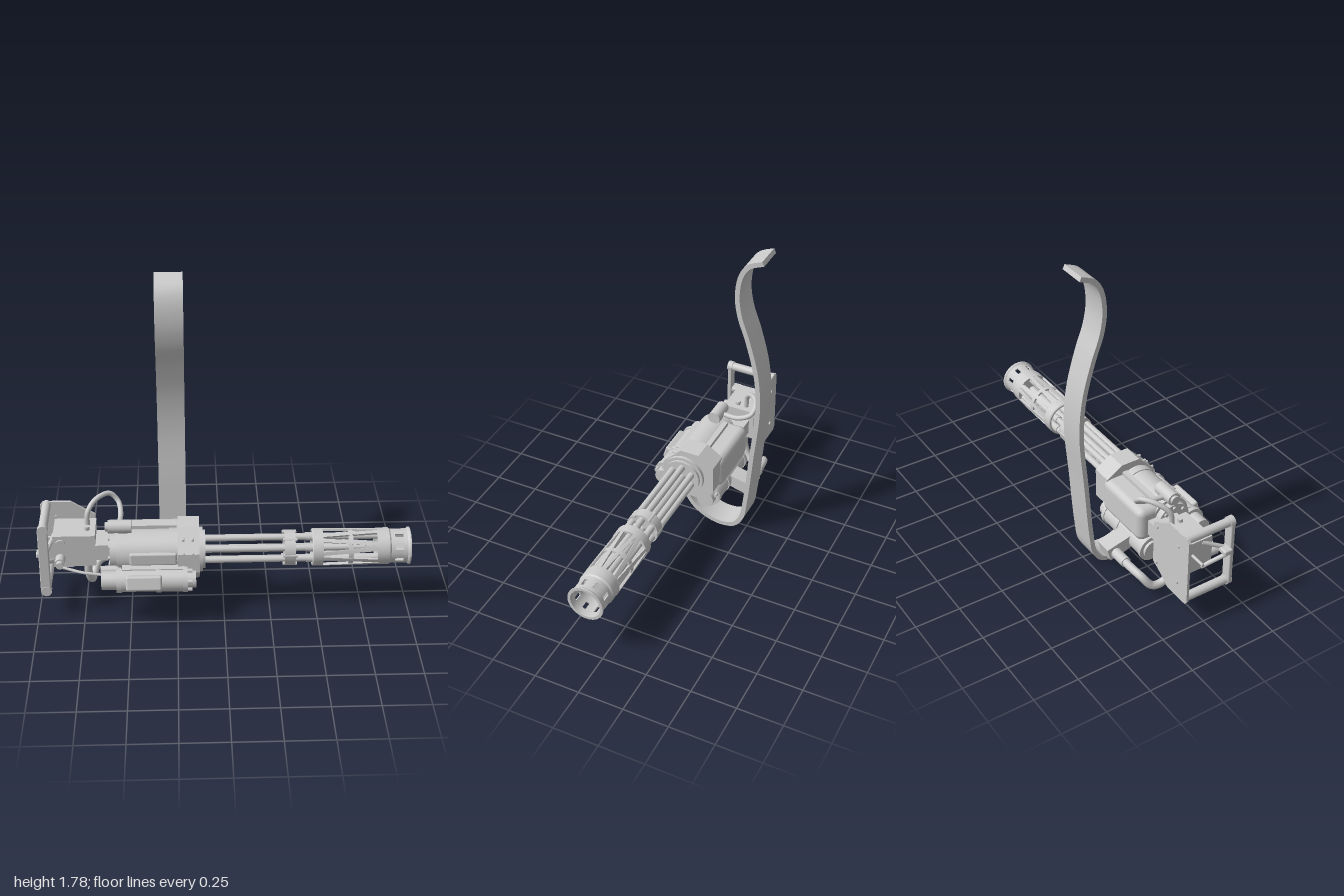
import * as THREE from 'three';
import { toCreasedNormals } from 'three/addons/utils/BufferGeometryUtils.js';
import { RoundedBoxGeometry } from 'three/addons/geometries/RoundedBoxGeometry.js';

const CY = 0.355, CZ = 0.085; // barrel axis
const TAU = Math.PI * 2;
const mat = new THREE.MeshStandardMaterial({ color: 0xcccccc });
const V = (x, y, z) => new THREE.Vector3(x, y, z);

export function createModel() {
  const model = new THREE.Group();
  let parent = model;

  const group = (name) => {
    parent = new THREE.Group();
    parent.name = name;
    model.add(parent);
  };
  const add = (name, geo, x = 0, y = 0, z = 0) => {
    const m = new THREE.Mesh(geo, mat);
    m.name = name;
    m.position.set(x, y, z);
    parent.add(m);
    return m;
  };
  // cylinder along x
  const cylX = (name, r, x0, x1, y = CY, z = CZ, seg = 32, r0 = r) =>
    add(name, new THREE.CylinderGeometry(r, r0, x1 - x0, seg).rotateZ(-Math.PI / 2), (x0 + x1) / 2, y, z);
  // cylinder between two points
  const rod = (name, r, a, b, seg = 16) => {
    const m = add(name, new THREE.CylinderGeometry(r, r, a.distanceTo(b), seg));
    m.position.copy(a).lerp(b, 0.5);
    m.quaternion.setFromUnitVectors(V(0, 1, 0), b.clone().sub(a).normalize());
    return m;
  };
  // box from opposite corners
  const box = (name, a, b, r = 0) => {
    const s = [0, 1, 2].map((i) => b[i] - a[i]);
    const geo = r ? new RoundedBoxGeometry(...s, 2, r) : new THREE.BoxGeometry(...s);
    return add(name, geo, ...[0, 1, 2].map((i) => (a[i] + b[i]) / 2));
  };
  const tube = (name, r, pts) =>
    add(name, new THREE.TubeGeometry(new THREE.CatmullRomCurve3(pts.map((p) => V(...p))), 48, r, 12));
  const extrude = (pts, depth) =>
    new THREE.ExtrudeGeometry(new THREE.Shape(pts.map((p) => new THREE.Vector2(...p))), { depth, bevelEnabled: false });
  // outline of [z, y] points swept along x
  const slabX = (name, pts, x0, x1) =>
    add(name, toCreasedNormals(extrude(pts.map(([z, y]) => [-z, y]), x1 - x0).rotateY(Math.PI / 2), 0.5), x0);
  // hollow ring round the barrel axis, outer profile of [x, r] points
  const ring = (name, profile, inner, seg = 48) => {
    const pts = profile.map(([x, r]) => new THREE.Vector2(r, x));
    const first = pts[0].y, last = pts[pts.length - 1].y;
    pts.push(new THREE.Vector2(inner, last), new THREE.Vector2(inner, first), pts[0].clone());
    const geo = new THREE.LatheGeometry(pts, seg).rotateZ(-Math.PI / 2);
    return add(name, toCreasedNormals(geo, 0.5), 0, CY, CZ);
  };
  // strip wrapped on a cylinder, twisting from angle a0 to a1
  const strip = (name, x0, x1, a0, a1, w0, w1, r, t) => {
    const geo = new THREE.BoxGeometry(1, 1, 1, 10, 1, 4);
    const p = geo.attributes.position;
    for (let i = 0; i < p.count; i++) {
      const u = p.getX(i) + 0.5;
      const a = a0 + (a1 - a0) * u + p.getZ(i) * (w0 + (w1 - w0) * u);
      const rad = r + (p.getY(i) - 0.5) * t;
      p.setXYZ(i, x0 + (x1 - x0) * u, Math.cos(a) * rad, Math.sin(a) * rad);
    }
    return add(name, toCreasedNormals(geo, 0.6), 0, CY, CZ);
  };

  // rotating barrels
  group('barrels');
  for (let i = 0; i < 6; i++) {
    const a = (i / 6) * TAU;
    cylX('barrel', 0.018, -0.12, 0.87, CY + 0.066 * Math.cos(a), CZ + 0.066 * Math.sin(a), 20);
    cylX('barrelCollar', 0.022, 0.44, 0.48, CY + 0.066 * Math.cos(a), CZ + 0.066 * Math.sin(a), 16);
  }
  cylX('spindle', 0.022, -0.12, 0.86, CY, CZ, 20);
  cylX('barrelClamp', 0.092, 0.325, 0.382);
  for (let i = 0; i < 6; i++) {
    const a = ((i + 0.5) / 6) * TAU;
    cylX('clampBolt', 0.01, 0.315, 0.392, CY + 0.085 * Math.cos(a), CZ + 0.085 * Math.sin(a), 10);
  }

  // slotted shroud and flash hider
  group('muzzleShroud');
  ring('rearBand', [[0.473, 0.096], [0.478, 0.101], [0.53, 0.101]], 0.088);
  ring('middleBand', [[0.665, 0.097], [0.69, 0.097]], 0.086);
  ring('frontBand', [[0.82, 0.099], [0.885, 0.099], [0.893, 0.092], [0.915, 0.092]], 0.085);
  cylX('barrelPlate', 0.09, 0.835, 0.86);
  for (let i = 0; i < 6; i++) {
    const a = (i / 6) * TAU;
    for (const s of [-1, 1]) strip('shroudStrut', 0.525, 0.825, a + s * 0.38, a + s * 0.13, 0.2, 0.24, 0.1, 0.012);
  }
  for (let i = 0; i < 8; i++) strip('muzzleRib', 0.91, 0.965, (i / 8) * TAU, (i / 8) * TAU, 0.56, 0.56, 0.092, 0.008);
  ring('muzzleLip', [[0.96, 0.092], [0.982, 0.093], [0.992, 0.101], [1.0, 0.101]], 0.085);

  // front housing that holds the rotor
  group('frontHousing');
  slabX('housing', [[0.11, 0.51], [0, 0.51], [-0.09, 0.45], [-0.09, 0.28], [-0.02, 0.21],
    [0.14, 0.21], [0.215, 0.29], [0.215, 0.4]], -0.245, -0.13);
  cylX('rotorFlange', 0.12, -0.135, -0.112, CY, CZ, 48);
  cylX('rotorFace', 0.103, -0.115, -0.098, CY, CZ, 48);
  for (const x of [-0.215, -0.165]) for (const y of [0.4, 0.46])
    rod('housingBolt', 0.008, V(x, y, 0.12), V(x, y, y > 0.43 ? 0.172 : 0.221), 10);

  // receiver
  group('receiver');
  cylX('receiverBody', 0.112, -0.57, -0.24, CY, CZ, 40);
  cylX('receiverBand', 0.117, -0.29, -0.245, CY, CZ, 40);
  cylX('rearCap', 0.095, -0.605, -0.57, CY, CZ, 32);
  box('sideCasing', [-0.57, 0.25, -0.105], [-0.21, 0.45, 0.06], 0.04);
  box('topRail', [-0.52, 0.45, 0.0], [-0.25, 0.472, 0.03]);
  box('frontCover', [-0.5, 0.33, 0.17], [-0.25, 0.4, 0.207], 0.01);
  cylX('topCanister', 0.036, -0.615, -0.49, 0.498, 0.075, 24);
  cylX('canisterCap', 0.025, -0.63, -0.61, 0.498, 0.075, 20);
  box('canisterMount', [-0.56, 0.44, 0.05], [-0.51, 0.48, 0.1]);
  for (let i = 0; i < 8; i++) {
    const a = (i / 8) * TAU;
    cylX('rearBolt', 0.01, -0.615, -0.6, CY + 0.075 * Math.cos(a), CZ + 0.075 * Math.sin(a), 10);
  }

  // drive motor on the front side
  group('driveMotor');
  cylX('motorBody', 0.062, -0.56, -0.2, 0.262, 0.235, 32);
  cylX('motorNose', 0.045, -0.2, -0.15, 0.262, 0.235, 24);
  cylX('motorRearCap', 0.05, -0.65, -0.56, 0.262, 0.235, 24);
  for (const x of [-0.57, -0.36, -0.22]) cylX('motorBand', 0.068, x, x + 0.025, 0.262, 0.235, 32);
  box('terminalBox', [-0.52, 0.24, 0.27], [-0.33, 0.32, 0.315], 0.012).rotation.x = -0.3;
  box('motorBracket', [-0.54, 0.25, 0.13], [-0.21, 0.33, 0.24]);
  for (let i = 0; i < 5; i++) {
    const a = (i / 5) * TAU;
    cylX('motorBolt', 0.011, -0.2, -0.17, 0.262 + 0.052 * Math.cos(a), 0.235 + 0.052 * Math.sin(a), 10);
  }
  cylX('motorPlug', 0.022, -0.655, -0.56, 0.3, 0.19, 16);

  // lower motor and its connector box
  group('feederMotor');
  cylX('feederBody', 0.068, -0.57, -0.2, 0.192, -0.03, 32);
  cylX('feederNose', 0.05, -0.2, -0.155, 0.192, -0.03, 24);
  cylX('feederRearCap', 0.052, -0.59, -0.57, 0.192, -0.03, 24);
  for (const x of [-0.575, -0.35, -0.225]) cylX('feederBand', 0.073, x, x + 0.022, 0.192, -0.03, 32);
  box('feederMount', [-0.5, 0.19, -0.06], [-0.21, 0.3, 0.09]);
  box('connectorBox', [-0.465, 0.135, -0.225], [-0.37, 0.21, -0.06]).rotation.x = -0.25;
  for (let i = 0; i < 4; i++) {
    const a = (i / 4) * TAU + 0.4;
    cylX('feederBolt', 0.01, -0.21, -0.18, 0.192 + 0.055 * Math.cos(a), -0.03 + 0.055 * Math.sin(a), 10);
  }

  // cables
  group('cables');
  tube('lowerHose', 0.022, [[-0.46, 0.155, -0.18], [-0.6, 0.155, -0.18], [-0.68, 0.14, -0.165], [-0.713, 0.085, -0.12],
    [-0.72, 0.085, -0.06], [-0.735, 0.15, -0.02], [-0.735, 0.28, -0.01]]);
  cylX('hoseCollar', 0.029, -0.56, -0.45, 0.155, -0.18, 20);
  tube('upperCable', 0.014, [[-0.73, 0.44, -0.02], [-0.725, 0.53, -0.03], [-0.68, 0.58, -0.08], [-0.61, 0.585, -0.13],
    [-0.565, 0.54, -0.125], [-0.55, 0.5, -0.05], [-0.56, 0.49, 0.05]]);
  tube('thinCable', 0.008, [[-0.87, 0.31, 0.17], [-0.82, 0.3, 0.18], [-0.75, 0.29, 0.198], [-0.62, 0.275, 0.205]]);

  // rear control box and back plate
  group('controls');
  const plate = extrude([[-0.97, 0.145], [-0.82, 0.145], [-0.76, 0.19], [-0.69, 0.23], [-0.69, 0.48],
    [-0.76, 0.52], [-0.82, 0.56], [-0.97, 0.56], [-0.985, 0.54], [-0.985, 0.165]], 0.014);
  add('backPlate', plate, 0, 0, -0.102);
  box('controlBox', [-0.91, 0.27, -0.09], [-0.685, 0.455, 0.1]);
  box('supportArm', [-0.7, 0.305, -0.06], [-0.58, 0.395, 0.1]);
  rod('controlKnob', 0.027, V(-0.873, 0.32, 0.1), V(-0.873, 0.32, 0.155), 20);
  rod('knobTip', 0.02, V(-0.873, 0.32, 0.15), V(-0.873, 0.32, 0.18), 20);
  rod('topButton', 0.015, V(-0.73, 0.45, 0.03), V(-0.73, 0.475, 0.03), 16);
  rod('upperDial', 0.026, V(-0.87, 0.41, 0.09), V(-0.87, 0.41, 0.112), 20);
  for (const x of [-0.9, -0.72]) for (const y of [0.24, 0.47])
    rod('plateBolt', 0.01, V(x, y, -0.11), V(x, y, -0.08), 12);

  // spade grip frame
  group('gripFrame');
  for (const s of [-1, 1]) {
    const y = CY + s * 0.187;
    rod('gripBar', 0.024, V(-0.95, y, -0.1), V(-0.95, y, 0.18), 20);
    rod('gripEnd', 0.029, V(-0.95, y, 0.16), V(-0.95, y, 0.19), 20);
    rod('gripStrut', 0.012, V(-0.95, CY + s * 0.02, 0.17), V(-0.905, CY + s * 0.08, 0.04), 10);
  }
  box('gripUpright', [-0.98, CY - 0.19, 0.163], [-0.925, CY + 0.19, 0.187], 0.006);
  box('trigger', [-0.995, 0.365, 0.12], [-0.935, 0.395, 0.17], 0.008);
  rod('triggerPin', 0.008, V(-0.998, 0.38, -0.02), V(-0.9, 0.38, -0.02), 10);

  // ammunition feed belt, a ribbon following a curve of [z, y]
  group('feedBelt');
  const path = new THREE.CatmullRomCurve3([[0.118, 0.27], [0.112, 0.18], [0.06, 0.09], [-0.02, 0.035], [-0.11, 0.015],
    [-0.19, 0.035], [-0.235, 0.1], [-0.255, 0.22], [-0.285, 0.55], [-0.312, 0.88], [-0.295, 1.09], [-0.24, 1.3],
    [-0.195, 1.43], [-0.178, 1.55], [-0.195, 1.67], [-0.235, 1.735], [-0.312, 1.771]].map(([z, y]) => V(0, y, z)));
  const near = [], far = [];
  for (let i = 0; i <= 90; i++) {
    const p = path.getPointAt(i / 90), t = path.getTangentAt(i / 90);
    near.push([p.z - t.y * 0.013, p.y + t.z * 0.013]);
    far.unshift([p.z + t.y * 0.013, p.y - t.z * 0.013]);
  }
  slabX('belt', [...near, ...far], -0.346, -0.197);

  return model;
}
